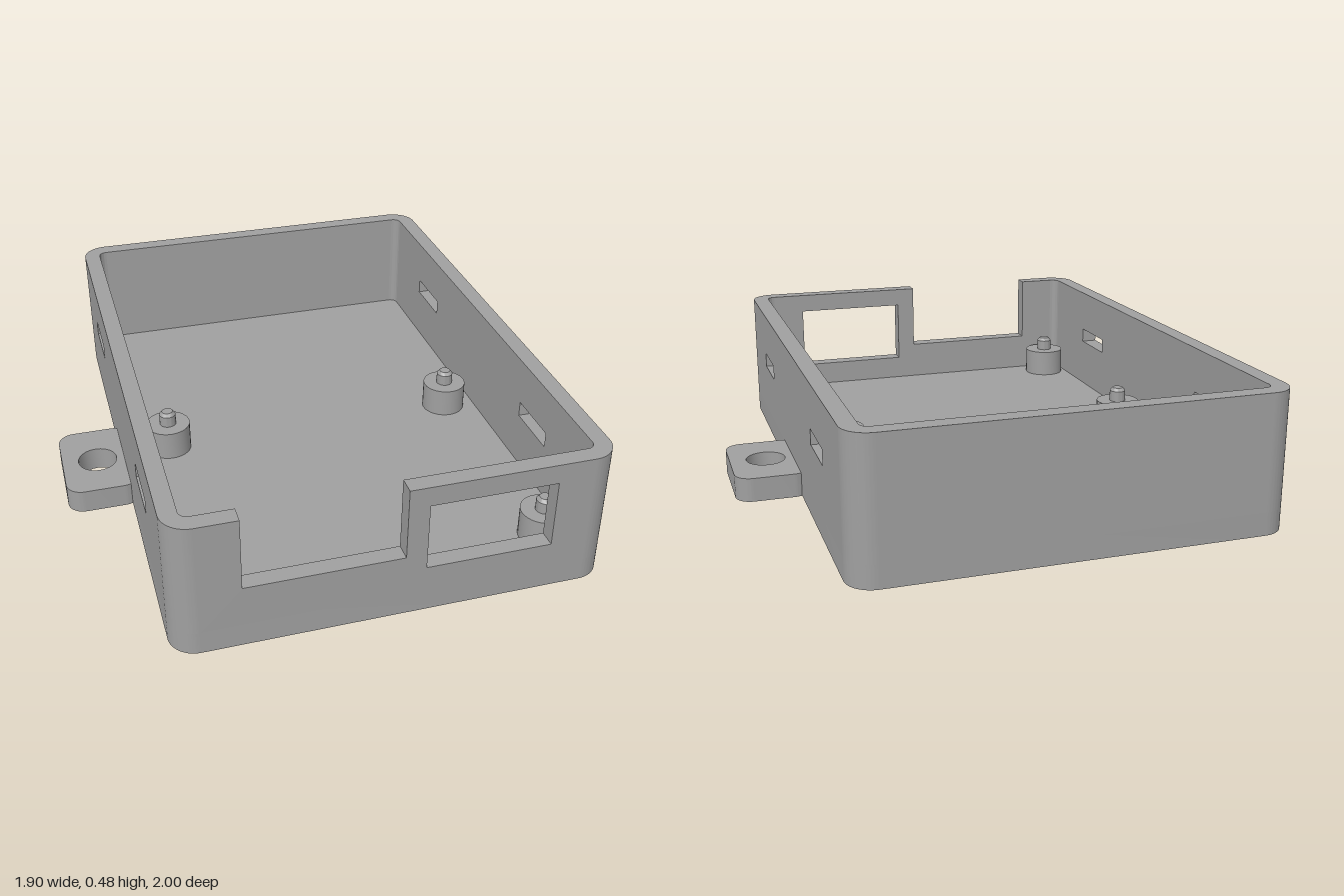
import * as THREE from 'three';
import { toCreasedNormals } from 'three/addons/utils/BufferGeometryUtils.js';

const W = 0.725, L = 1, H = 0.48;        // half width, half length, height
const FLOOR = 0.08, WALL = 0.06, R = 0.09; // floor, wall thickness, corner radius

const grey = new THREE.MeshStandardMaterial({ color: 0xa0a0a0 });
grey.name = 'grey plastic';

function add(parent, name, geometry, x = 0, y = 0, z = 0) {
  const mesh = new THREE.Mesh(toCreasedNormals(geometry, 0.6), grey);
  mesh.name = name;
  mesh.position.set(x, y, z);
  parent.add(mesh);
  return mesh;
}

const extrude = (shape, depth) =>
  new THREE.ExtrudeGeometry(shape, { depth, bevelEnabled: false, curveSegments: 12 });

const extrudeUp = (shape, height) => extrude(shape, height).rotateX(-Math.PI / 2);

const polygon = (points) => new THREE.Shape(points.map(([x, y]) => new THREE.Vector2(x, y)));

function rectHole(x0, x1, y0, y1) {
  return new THREE.Path([[x0, y0], [x0, y1], [x1, y1], [x1, y0]].map(([x, y]) => new THREE.Vector2(x, y)));
}

function roundedRect(x0, x1, y0, y1, r) {
  const s = new THREE.Shape();
  s.absarc(x1 - r, y1 - r, r, 0, Math.PI / 2);
  s.absarc(x0 + r, y1 - r, r, Math.PI / 2, Math.PI);
  s.absarc(x0 + r, y0 + r, r, Math.PI, Math.PI * 1.5);
  s.absarc(x1 - r, y0 + r, r, Math.PI * 1.5, Math.PI * 2);
  s.closePath();
  return s;
}

export function createModel() {
  const model = new THREE.Group();
  model.name = 'enclosure';

  add(model, 'floor', extrudeUp(roundedRect(-W, W, -L, L, R), FLOOR));

  // Side walls, each with two vent slots
  const z = L - R, x = W - R;
  const side = polygon([[-z, FLOOR], [z, FLOOR], [z, H], [-z, H]]);
  side.holes.push(rectHole(0.4, 0.61, 0.265, 0.32), rectHole(-0.635, -0.425, 0.265, 0.32));
  const sideGeometry = extrude(side, WALL).rotateY(-Math.PI / 2);
  add(model, 'leftWall', sideGeometry, W);
  add(model, 'rightWall', sideGeometry, -W + WALL);

  // Back wall
  const back = polygon([[-x, FLOOR], [x, FLOOR], [x, H], [-x, H]]);
  add(model, 'backWall', extrude(back, WALL), 0, 0, -L);

  // Front wall with an open notch and a window
  const front = polygon([
    [-x, FLOOR], [x, FLOOR], [x, H], [0.02, H],
    [0.02, 0.225], [-0.5, 0.225], [-0.5, H], [-x, H],
  ]);
  front.holes.push(rectHole(0.09, 0.515, 0.17, 0.41));
  add(model, 'frontWall', extrude(front, WALL), 0, 0, L - WALL);

  // Rounded wall corners
  const sector = new THREE.Shape();
  sector.absarc(0, 0, R, 0, Math.PI / 2);
  sector.absarc(0, 0, R - WALL, Math.PI / 2, 0, true);
  sector.closePath();
  const cornerGeometry = extrudeUp(sector, H - FLOOR);
  [[x, -z], [-x, -z], [-x, z], [x, z]].forEach(([cx, cz], i) => {
    add(model, 'wallCorner', cornerGeometry, cx, FLOOR, cz).rotation.y = i * Math.PI / 2;
  });

  // Mounting tabs with screw holes
  for (const s of [1, -1]) {
    const tab = roundedRect(Math.min(s * 0.69, s * 0.95), Math.max(s * 0.69, s * 0.95), -0.19, 0.195, 0.06);
    tab.holes.push(new THREE.Path().absarc(s * 0.822, 0, 0.07, 0, Math.PI * 2, true));
    add(model, s > 0 ? 'leftTab' : 'rightTab', extrudeUp(tab, 0.085));
  }

  // Standoffs with chamfered locating pins
  const profile = [[0.08, 0], [0.08, 0.105], [0.03, 0.105], [0.03, 0.145], [0.02, 0.157], [0, 0.157]]
    .map(([r, y]) => new THREE.Vector2(r, y));
  const standoff = new THREE.LatheGeometry(profile, 32);
  for (const [px, pz] of [[-0.55, -0.02], [0.545, -0.02], [-0.57, 0.84], [0.565, 0.84]]) {
    add(model, 'standoff', standoff, px, FLOOR, pz);
  }
  return model;
}
